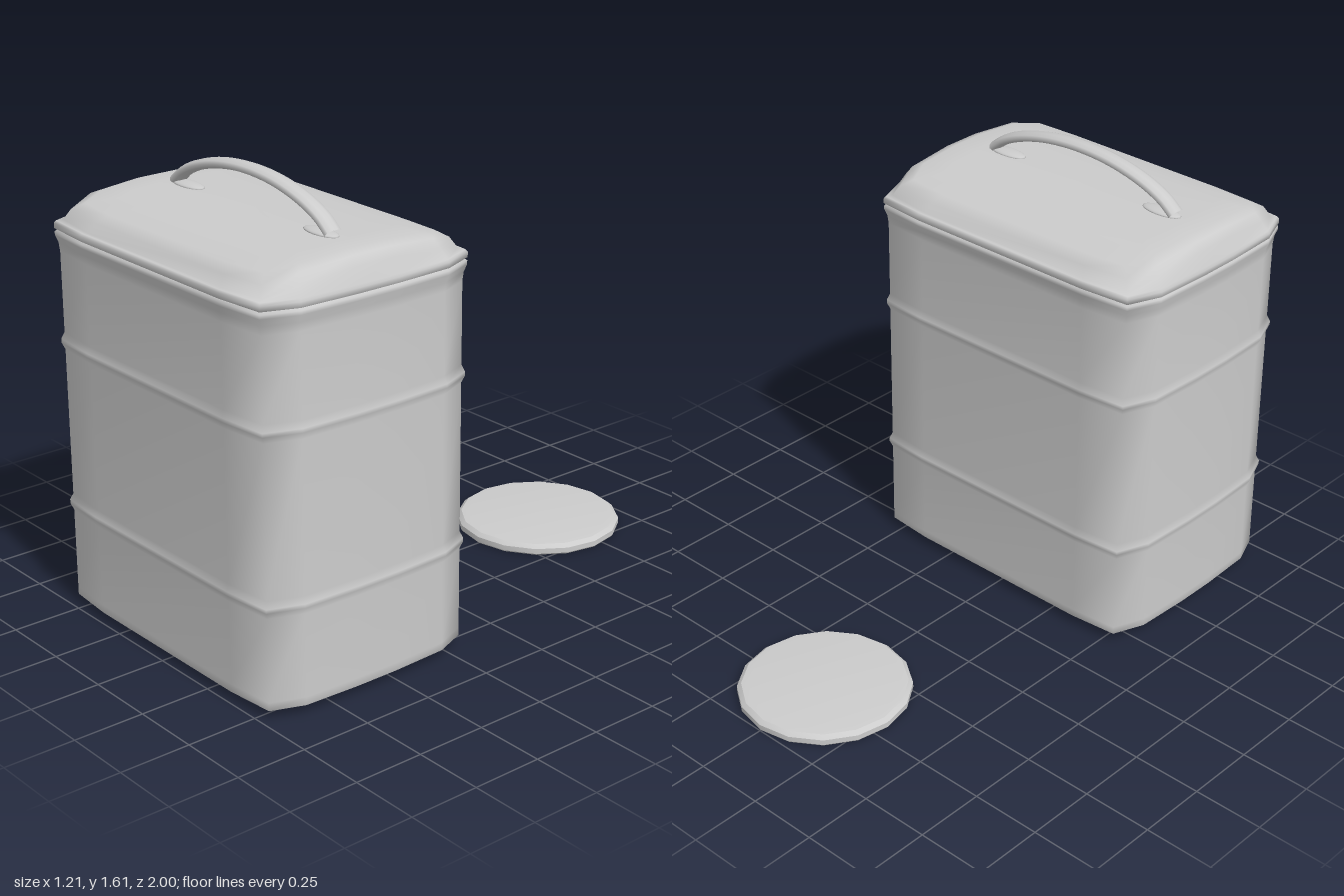
import * as THREE from 'three';
import { toCreasedNormals } from 'three/addons/utils/BufferGeometryUtils.js';

const HX = 0.605, HZ = 0.423; // half width and depth at the rim
const CZ = 0.577;             // z of the canister's centre

// One quarter of the rounded rectangular plan, mirrored into a 16-point loop
const QUARTER = [[0.605, 0.08], [0.596, 0.29], [0.55, 0.407], [0.37, 0.423]];
const flip = (points, sx, sz) => points.map(([x, z]) => [x * sx, z * sz]);
const PLAN = [
  ...QUARTER,
  ...flip([...QUARTER].reverse(), -1, 1),
  ...flip(QUARTER, -1, -1),
  ...flip([...QUARTER].reverse(), 1, -1),
];

// Skin between scaled copies of the plan; each row is [halfX, halfZ, y or y(z)]
function loft(rows) {
  const n = PLAN.length, positions = [], index = [];
  for (const [hx, hz, y] of rows) {
    for (const [px, pz] of PLAN) {
      const z = pz * hz / HZ;
      positions.push(px * hx / HX, typeof y === 'function' ? y(z) : y, z);
    }
  }
  for (let i = 0; i < rows.length - 1; i++) {
    for (let j = 0; j < n; j++) {
      const a = i * n + j, b = i * n + (j + 1) % n;
      index.push(a, a + n, b, b, a + n, b + n);
    }
  }
  const geometry = new THREE.BufferGeometry();
  geometry.setAttribute('position', new THREE.Float32BufferAttribute(positions, 3));
  geometry.setIndex(index);
  geometry.computeVertexNormals();
  return geometry;
}

export function createModel() {
  const group = new THREE.Group();
  const material = new THREE.MeshStandardMaterial({ color: 0xcccccc });
  const add = (name, geometry, x, y, z) => {
    const mesh = new THREE.Mesh(geometry, material);
    mesh.name = name;
    mesh.position.set(x, y, z);
    group.add(mesh);
    return mesh;
  };
  const inset = (d, y) => [HX - d, HZ - d, y];

  // Canister body with two raised bands and a flared rim
  const band = (y) => [inset(0.012, y - 0.03), inset(0.003, y - 0.007), inset(0.003, y + 0.007), inset(0.012, y + 0.03)];
  add('body', loft([
    [0, 0, 0.025], inset(0.06, 0.025), inset(0.022, 0.025), inset(0.012, 0.032), inset(0.012, 0.06),
    ...band(0.38), ...band(0.96),
    inset(0.012, 1.27), inset(0.009, 1.3), inset(0.001, 1.325), inset(0.001, 1.338), inset(0.01, 1.345),
  ]), 0, 0, CZ);

  // Lid: rolled rim, sloping shoulder and a top arched from front to back
  const crown = (drop) => (z) => 1.465 - 0.045 * (Math.abs(z) / 0.38) ** 3 - drop;
  add('lid', loft([
    inset(0.012, 1.343), inset(0, 1.348), inset(0, 1.366), inset(0.006, 1.374),
    [0.58, 0.4, crown(0.04)],
    [0.56, 0.38, crown(0.012)],
    [0.525, 0.345, crown(0)],
    [0.44, 0.25, crown(0)],
    [0.3, 0.13, crown(0)],
    [0, 0, 1.465],
  ]), 0, 0, CZ);

  // Arched carrying handle, flattened into a strap
  const arch = new THREE.CatmullRomCurve3([
    [-0.405, 1.474], [-0.36, 1.51], [-0.28, 1.547], [-0.15, 1.58], [0, 1.592],
    [0.15, 1.58], [0.28, 1.547], [0.36, 1.51], [0.405, 1.474],
  ].map(([x, y]) => new THREE.Vector3(x, y, 0)));
  const handle = add('handle', new THREE.TubeGeometry(arch, 32, 0.018, 10), 0, 0, 0.59);
  handle.scale.z = 1.85;

  // Handle feet lying on the lid, turned inward
  for (const side of [-1, 1]) {
    const foot = add(side > 0 ? 'leftHandleFoot' : 'rightHandleFoot', new THREE.SphereGeometry(1, 16, 10), side * 0.347, 1.466, 0.59);
    foot.scale.set(0.08, 0.011, 0.033);
  }

  // Separate round cover on the ground behind the canister
  const profile = [[0, 0], [0.296, 0], [0.3, 0.005], [0.3, 0.024], [0.285, 0.037], [0.26, 0.04], [0, 0.04]]
    .map(([r, y]) => new THREE.Vector2(r, y));
  add('roundCover', toCreasedNormals(new THREE.LatheGeometry(profile, 16), 0.6), 0, 0, -0.7);

  return group;
}
